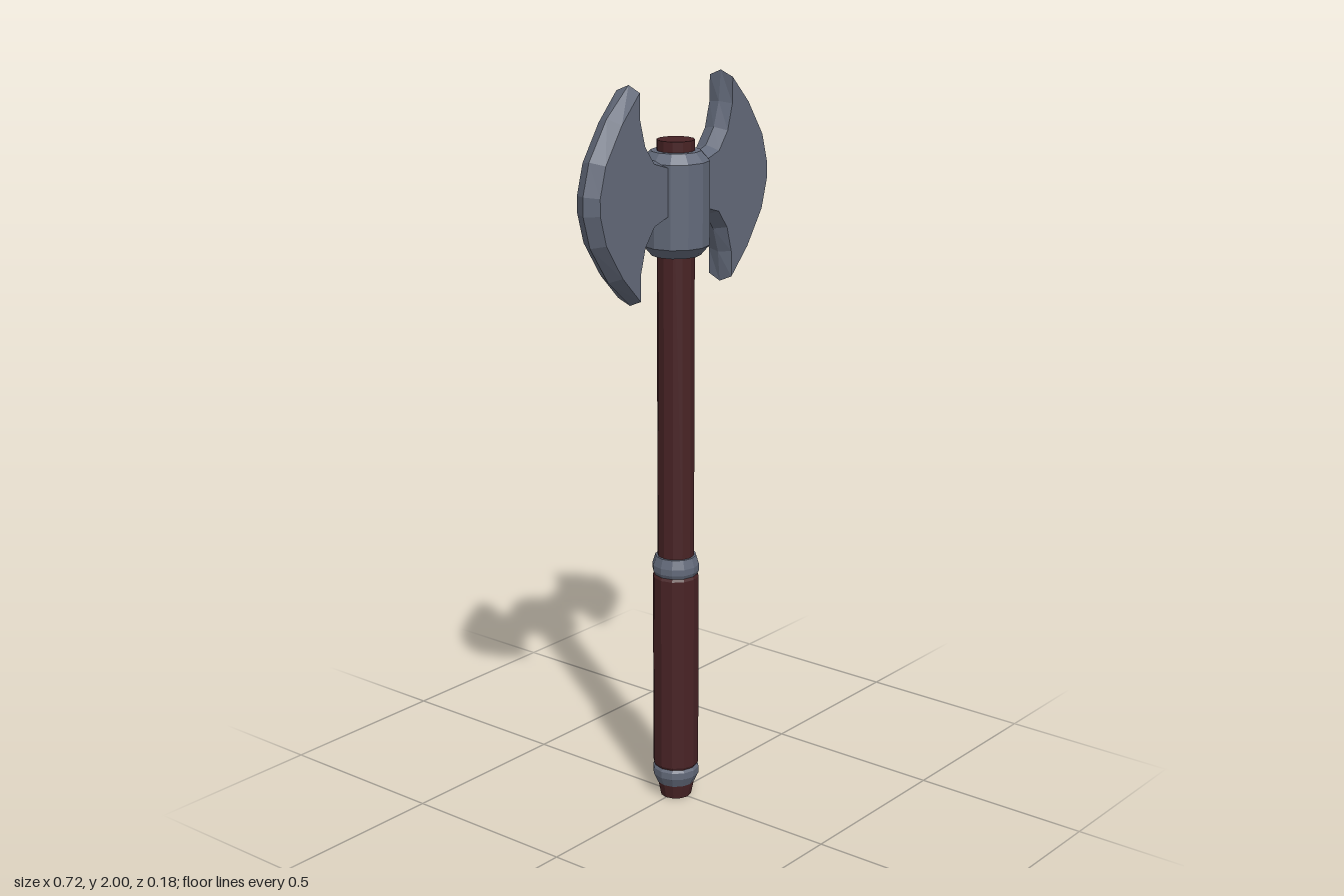
import * as THREE from 'three';

const metal = new THREE.MeshStandardMaterial({ color: 0x636a7a });
metal.name = 'steel';
const wood = new THREE.MeshStandardMaterial({ color: 0x482325 });
wood.name = 'dark red wood';

// Gives every face its own flat normal
function faceted(geometry) {
  const flat = geometry.index ? geometry.toNonIndexed() : geometry;
  flat.computeVertexNormals();
  return flat;
}

// Twelve-sided turned part from [radius, y] pairs, closed at both ends
function turned(name, profile, material) {
  const closed = [[0, profile[0][1]], ...profile, [0, profile[profile.length - 1][1]]];
  const points = closed.map(([r, y]) => new THREE.Vector2(r, y));
  const mesh = new THREE.Mesh(faceted(new THREE.LatheGeometry(points, 12)), material);
  mesh.name = name;
  return mesh;
}

// Blade: two flat cheeks joined by a ridged rim
function bladeGeometry() {
  const midY = 1.717, halfThickness = 0.038;
  // Upper half, heights above the middle: ridge x, ridge y, cheek x, cheek y
  const half = [
    [0.362, 0.025, 0.341, 0.022],
    [0.338, 0.108, 0.319, 0.1],
    [0.27, 0.207, 0.257, 0.193],
    [0.186, 0.281, 0.188, 0.265],
    [0.178, 0.2, 0.187, 0.196],
    [0.157, 0.135, 0.168, 0.128],
    [0.125, 0.092, 0.132, 0.08],
    [0.06, 0.069, 0.06, 0.057],
  ];
  const rows = [...half, ...half.slice().reverse().map(([a, b, c, d]) => [a, -b, c, -d])];
  const n = rows.length;
  const positions = [], index = [];
  for (const [rx, ry] of rows) positions.push(rx, midY + ry, 0);
  for (const z of [halfThickness, -halfThickness]) {
    for (const r of rows) positions.push(r[2], midY + r[3], z);
  }
  // Bevel strips on both sides of the ridge
  for (let i = 0; i < n; i++) {
    const j = (i + 1) % n;
    index.push(i, j, n + j, i, n + j, n + i);
    index.push(j, i, 2 * n + i, j, 2 * n + i, 2 * n + j);
  }
  // Flat cheeks
  const outline = rows.map((r) => new THREE.Vector2(r[2], r[3]));
  for (const [a, b, c] of THREE.ShapeUtils.triangulateShape(outline, [])) {
    index.push(n + a, n + b, n + c, 2 * n + a, 2 * n + c, 2 * n + b);
  }
  const geometry = new THREE.BufferGeometry();
  geometry.setAttribute('position', new THREE.Float32BufferAttribute(positions, 3));
  geometry.setIndex(index);
  return faceted(geometry);
}

export function createModel() {
  const axe = new THREE.Group();
  axe.name = 'doubleAxe';

  // Handle
  axe.add(
    turned('pommel', [[0.043, 0], [0.052, 0.045]], wood),
    turned('lowerRing', [[0.052, 0.04], [0.064, 0.066], [0.064, 0.085], [0.058, 0.095]], metal),
    turned('grip', [[0.058, 0.09], [0.063, 0.1], [0.063, 0.65], [0.058, 0.66]], wood),
    turned('upperRing', [[0.058, 0.655], [0.064, 0.668], [0.064, 0.685], [0.056, 0.71]], metal),
    turned('shaft', [[0.05, 0.7], [0.05, 1.84]], wood),
  );

  // Head
  axe.add(turned('headSocket',
    [[0.066, 1.54], [0.089, 1.567], [0.089, 1.787], [0.066, 1.812]], metal));
  const geometry = bladeGeometry();
  for (const [name, turn] of [['leftBlade', 0], ['rightBlade', Math.PI]]) {
    const blade = new THREE.Mesh(geometry, metal);
    blade.name = name;
    blade.rotation.y = turn;
    axe.add(blade);
  }
  return axe;
}
